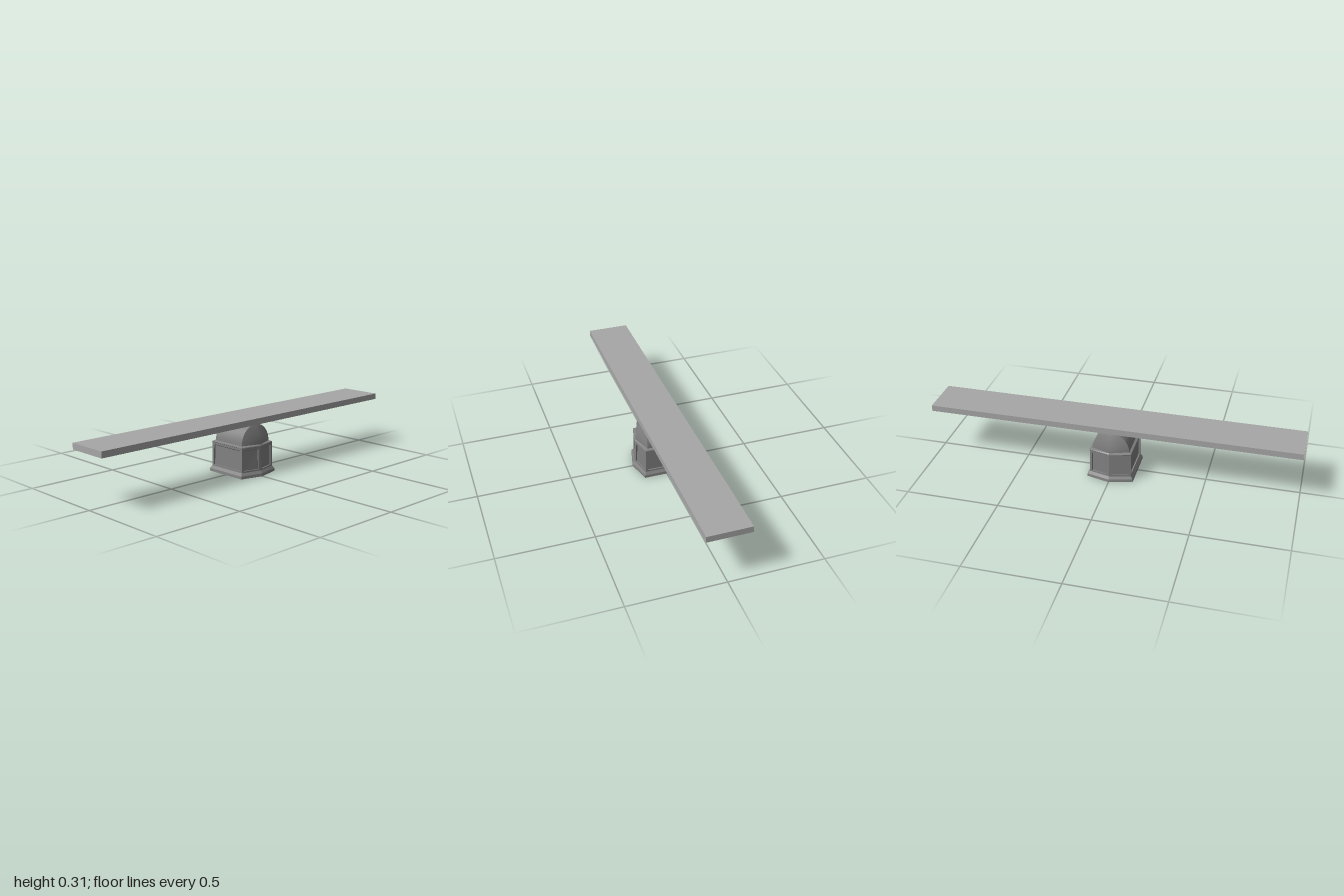
import * as THREE from 'three';

const boardGrey = new THREE.MeshStandardMaterial({ color: 0xa7a7a7, flatShading: true });
const baseFlat = new THREE.MeshStandardMaterial({ color: 0x818181, flatShading: true, side: THREE.DoubleSide });
const baseSmooth = new THREE.MeshStandardMaterial({ color: 0x818181, side: THREE.DoubleSide });

// Elongated hexagon: side half width w, corner depth c, pointed end depth a
function hexRing([y, w, c, a]) {
  return [[w, c], [w, -c], [0, -a], [-w, -c], [-w, c], [0, a]].map(([x, z]) => new THREE.Vector3(x, y, z));
}

// Surface through equal-length rows of points, bottom row first
function sheet(rows) {
  const n = rows[0].length, index = [];
  for (let j = 0; j < rows.length - 1; j++) {
    for (let i = 0; i < n - 1; i++) {
      const p = j * n + i;
      index.push(p, p + 1, p + n + 1, p, p + n + 1, p + n);
    }
  }
  const geo = new THREE.BufferGeometry().setFromPoints(rows.flat());
  geo.setIndex(index);
  geo.computeVertexNormals();
  return geo;
}

function add(parent, name, geo, mat) {
  const mesh = new THREE.Mesh(geo, mat);
  mesh.name = name;
  parent.add(mesh);
  return mesh;
}

const close = row => [...row, row[0]];

// Closed hexagonal band through a list of sections
function band(parent, name, sections) {
  add(parent, name, sheet(sections.map(s => close(hexRing(s)))), baseFlat);
}

// Wall with a frame around a recessed panel; the recess slopes down at its top
function panelWall(parent, name, a, b, c, d) {
  const u = b.clone().sub(a), v = d.clone().sub(a);
  const inward = u.clone().cross(v).normalize().multiplyScalar(-0.008);
  const side = 0.014 / u.length(), top = 0.011 / v.length(), low = 0.008 / v.length();
  const at = (s, t) => a.clone().lerp(b, s).lerp(d.clone().lerp(c, s), t);
  const opening = t => [at(side, low), at(1 - side, low), at(1 - side, t), at(side, t)];
  const inner = opening(1 - top);
  const deep = opening(1 - top - 0.005 / v.length()).map(p => p.add(inward));
  add(parent, name + 'Frame', sheet([[a, b, c, d], inner, deep].map(close)), baseFlat);
  add(parent, name + 'Panel', sheet([[deep[0], deep[1]], [deep[3], deep[2]]]), baseFlat);
}

export function createModel() {
  const model = new THREE.Group();
  model.name = 'seesaw';

  // Long flat board
  const board = add(model, 'board', new THREE.BoxGeometry(2, 0.033, 0.23), boardGrey);
  board.position.set(0, 0.2915, 0.001);

  const base = new THREE.Group();
  base.name = 'base';
  model.add(base);

  // Flared plinth, open underneath
  const wallLow = [0.03, 0.114, 0.115, 0.143], wallTop = [0.16, 0.112, 0.114, 0.14];
  band(base, 'plinth', [[0, 0.125, 0.123, 0.155], [0.015, 0.124, 0.122, 0.153], wallLow]);

  // Six panelled walls
  const lo = hexRing(wallLow), hi = hexRing(wallTop);
  for (let i = 0; i < 6; i++) {
    const k = (i + 1) % 6;
    panelWall(base, 'wall' + (i + 1), lo[i], lo[k], hi[k], hi[i]);
  }

  // Thin ledge under the vault
  band(base, 'ledge', [wallTop, [0.162, 0.114, 0.115, 0.142], [0.166, 0.113, 0.114, 0.141], [0.171, 0.1, 0.1, 0.136]]);

  // Rounded vault with bulging pointed ends
  const rings = [];
  for (let j = 0; j <= 14; j++) {
    const t = j / 14 * Math.PI / 2, s = Math.sin(t);
    rings.push(hexRing([0.17 + 0.106 * s, 0.1 * Math.cos(t), 0.1, 0.102 + 0.034 * (1 - s ** 1.5)]));
  }
  const faces = { vaultLeft: [0, 1], vaultBack: [1, 2, 3], vaultRight: [3, 4], vaultFront: [4, 5, 0] };
  for (const [name, ids] of Object.entries(faces)) {
    add(base, name, sheet(rings.map(r => ids.map(i => r[i]))), baseSmooth);
  }
  return model;
}
